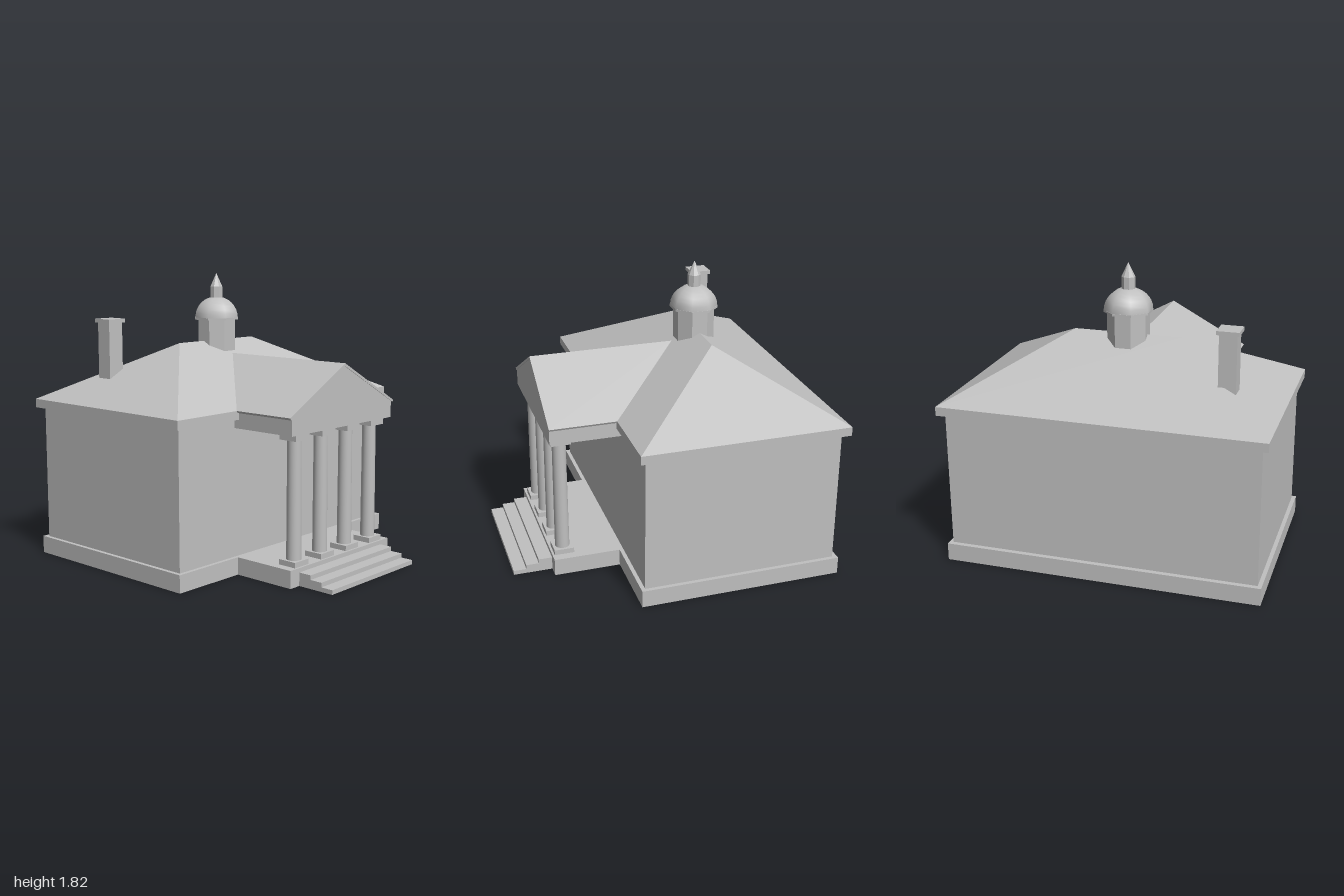
import * as THREE from 'three';

const stone = new THREE.MeshStandardMaterial({ color: 0xc0c0c0, side: THREE.DoubleSide });
stone.name = 'pale grey';

export function createModel() {
  const model = new THREE.Group();
  model.name = 'courthouse';

  const add = (name, geometry, x = 0, y = 0, z = 0, parent = model) => {
    const mesh = new THREE.Mesh(geometry, stone);
    mesh.name = name;
    mesh.position.set(x, y, z);
    parent.add(mesh);
    return mesh;
  };

  // Box given by its ranges; hollow ones have no underside
  const block = (name, [x0, x1], [y0, y1], [z0, z1], { hollow = false, parent = model } = {}) => {
    const g = new THREE.BoxGeometry(x1 - x0, y1 - y0, z1 - z0);
    if (hollow) {
      const index = Array.from(g.index.array);
      index.splice(18, 6);
      g.setIndex(index);
      g.clearGroups();
    }
    return add(name, g, (x0 + x1) / 2, (y0 + y1) / 2, (z0 + z1) / 2, parent);
  };

  // Outline in x and y, extruded from z0 to z1
  const prism = (name, points, z0, z1) => {
    const shape = new THREE.Shape(points.map(([x, y]) => new THREE.Vector2(x, y)));
    const g = new THREE.ExtrudeGeometry(shape, { depth: z1 - z0, bevelEnabled: false });
    return add(name, g, 0, 0, z0);
  };

  // Main building
  block('plinth', [-0.985, 0.985], [0, 0.11], [-0.97, 0.315], { hollow: true });
  block('walls', [-0.96, 0.96], [0.11, 0.97], [-0.94, 0.29]);
  block('eaves', [-1, 1], [0.965, 1.02], [-0.985, 0.327]);

  // Hipped roof: four slopes rising to a short ridge
  const zMid = -0.33;
  const a = [-1, 1.02, 0.327], b = [1, 1.02, 0.327], c = [1, 1.02, -0.985], d = [-1, 1.02, -0.985];
  const l = [-0.343, 1.375, zMid], r = [0.343, 1.375, zMid];
  const triangles = [a, b, r, a, r, l, b, c, r, c, d, l, c, l, r, d, a, l];
  const hip = new THREE.BufferGeometry();
  hip.setAttribute('position', new THREE.Float32BufferAttribute(triangles.flat(), 3));
  hip.computeVertexNormals();
  add('hippedRoof', hip);

  // Portico: deck, pediment and gabled roof running into the main roof
  block('porticoDeck', [-0.49, 0.49], [0, 0.11], [0.315, 0.737], { hollow: true });
  prism('pediment', [[-0.49, 0.91], [0.49, 0.91], [0.49, 1.02], [0, 1.285], [-0.49, 1.02]], 0.27, 0.742);
  prism('porticoRoof', [[-0.51, 1.02], [-0.503, 1.007], [0, 1.279], [0.503, 1.007], [0.51, 1.02], [0, 1.296]], -0.185, 0.746);

  // Three steps, lowest in front
  for (let i = 0; i < 3; i++) {
    const back = i === 2 ? 0.737 : 0.904 - i * 0.081;
    block('step', [-0.41, 0.41], [0, 0.0277 * (i + 1)], [back, 0.985 - i * 0.081], { hollow: true });
  }

  // Four columns
  for (const x of [-0.37, -0.123, 0.123, 0.37]) {
    const column = new THREE.Group();
    column.name = 'column';
    column.position.set(x, 0, 0.66);
    model.add(column);
    block('columnBase', [-0.063, 0.063], [0.11, 0.143], [-0.063, 0.063], { parent: column });
    add('columnShaft', new THREE.CylinderGeometry(0.043, 0.046, 0.727, 24), 0, 0.5065, 0, column);
    block('columnCapital', [-0.063, 0.063], [0.87, 0.91], [-0.063, 0.063], { parent: column });
  }

  // Cupola: eight-sided drum, dome and spire, flat sides to the front
  const cupola = new THREE.Group();
  cupola.name = 'cupola';
  cupola.position.set(0, 0, zMid);
  model.add(cupola);
  const turn = Math.PI / 8;
  const octagon = (name, top, bottom, y0, y1) => {
    const g = new THREE.CylinderGeometry(top, bottom, y1 - y0, 8, 1, false, turn).toNonIndexed();
    g.computeVertexNormals();
    add(name, g, 0, (y0 + y1) / 2, 0, cupola);
  };
  octagon('drum', 0.131, 0.131, 1.2, 1.52);
  octagon('domeRim', 0.153, 0.153, 1.512, 1.526);
  const profile = [];
  for (let i = 0; i <= 8; i++) {
    const t = (i / 8) * Math.PI / 2;
    profile.push(new THREE.Vector2(Math.max(0.151 * Math.cos(t), 0.0001), 1.526 + 0.135 * Math.sin(t)));
  }
  add('dome', new THREE.LatheGeometry(profile, 8, turn), 0, 0, 0, cupola);
  octagon('spireNeck', 0.042, 0.042, 1.64, 1.728);
  octagon('spire', 0.0005, 0.042, 1.728, 1.815);

  // Chimney
  block('chimneyShaft', [-0.742, -0.635], [1.1, 1.515], [-0.658, -0.551]);
  block('chimneyCap', [-0.756, -0.621], [1.513, 1.537], [-0.672, -0.537]);

  return model;
}
